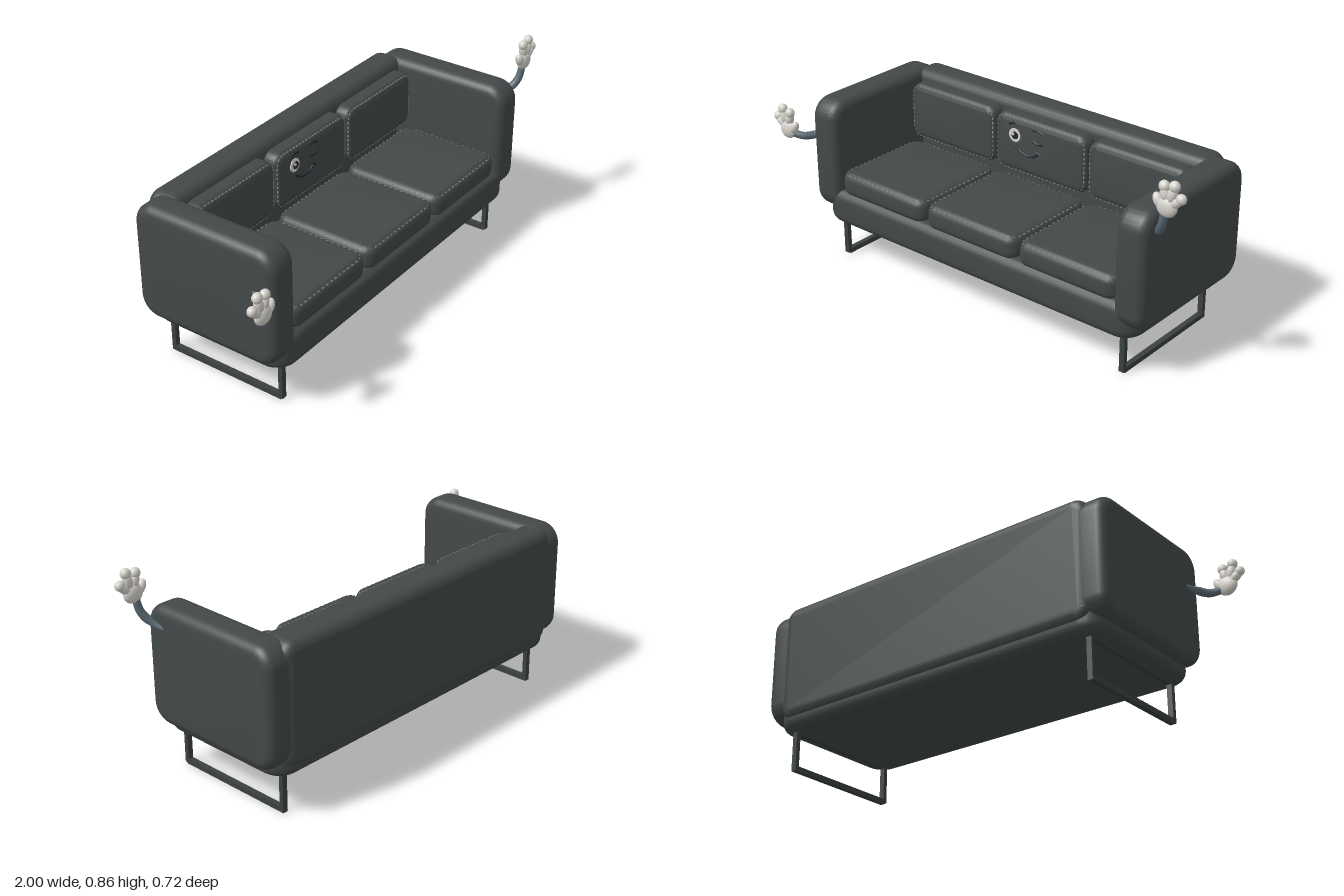
import * as THREE from 'three';
import { mergeVertices, mergeGeometries, toCreasedNormals } from 'three/addons/utils/BufferGeometryUtils.js';

const mat = (name, color) => {
  const m = new THREE.MeshStandardMaterial({ color });
  m.name = name;
  return m;
};

// rounded rectangle centred on the origin
function outline(w, h, r) {
  const s = new THREE.Shape(), x = w / 2, y = h / 2, q = Math.PI / 2;
  s.moveTo(-x + r, -y);
  s.absarc(x - r, -y + r, r, -q, 0);
  s.absarc(x - r, y - r, r, 0, q);
  s.absarc(-x + r, y - r, r, q, 2 * q);
  s.absarc(-x + r, -y + r, r, 2 * q, 3 * q);
  s.closePath();
  return s;
}

// upholstered slab: rounded outline, soft edges, thickness along z
function padGeometry(w, h, d, r, b) {
  let g = new THREE.ExtrudeGeometry(outline(w - 2 * b, h - 2 * b, r - b), {
    depth: d - 2 * b, bevelSize: b, bevelThickness: b, bevelSegments: 6, curveSegments: 8,
  });
  g.translate(0, 0, b - d / 2);
  g.deleteAttribute('uv');
  g.deleteAttribute('normal');
  g = mergeVertices(g, 1e-5);
  return toCreasedNormals(g, 0.7);
}

// row of short stitches along the front rim of a pad
function stitchGeometry(w, h, d, r, b) {
  const inset = b * 0.3;
  const pts = outline(w - 2 * inset, h - 2 * inset, r - inset).getSpacedPoints(64);
  const parts = [];
  for (let i = 0; i < 64; i++) {
    const a = pts[i], c = pts[i + 1];
    const g = new THREE.BoxGeometry(0.011, 0.004, 0.004);
    g.rotateZ(Math.atan2(c.y - a.y, c.x - a.x));
    g.translate((a.x + c.x) / 2, (a.y + c.y) / 2, d / 2 - inset);
    parts.push(g);
  }
  return mergeGeometries(parts);
}

// tube whose radius follows a rule along its length
function taperedTube(points, radius) {
  const curve = new THREE.CatmullRomCurve3(points.map(p => new THREE.Vector3(...p)));
  const seg = 20, rad = 14;
  const g = new THREE.TubeGeometry(curve, seg, 1, rad);
  const p = g.attributes.position, v = new THREE.Vector3();
  for (let i = 0; i <= seg; i++) {
    const c = curve.getPointAt(i / seg);
    for (let j = 0; j <= rad; j++) {
      const k = i * (rad + 1) + j;
      v.fromBufferAttribute(p, k).sub(c).multiplyScalar(radius(i / seg)).add(c);
      p.setXYZ(k, v.x, v.y, v.z);
    }
  }
  return g;
}

export function createModel() {
  const model = new THREE.Group();
  model.name = 'sofa';
  const leather = mat('charcoal leather', 0x434849);
  const metal = mat('dark metal', 0x3a4041);
  const thread = mat('pale thread', 0x8f897d);
  const sleeve = mat('blue grey arm', 0x5b6c76);
  const glove = mat('off white', 0xd6d3cc);
  const ink = mat('face ink', 0x24282a);

  const add = (name, geo, material, x = 0, y = 0, z = 0, parent = model) => {
    const m = new THREE.Mesh(geo, material);
    m.name = name;
    m.position.set(x, y, z);
    parent.add(m);
    return m;
  };

  const cx = 0.017;

  // base and backrest
  add('base', padGeometry(1.59, 0.64, 0.15, 0.09, 0.04), leather, cx, 0.24, -0.025).rotation.x = -Math.PI / 2;
  add('backrest', padGeometry(1.52, 0.5, 0.135, 0.06, 0.04), leather, cx, 0.452, -0.291);

  // armrests and leg frames
  for (const s of [-1, 1]) {
    const side = s > 0 ? 'left' : 'right';
    add(side + 'Armrest', padGeometry(0.652, 0.49, 0.135, 0.085, 0.04), leather, cx + s * 0.77, 0.456, -0.027)
      .rotation.y = Math.PI / 2;
    const frame = new THREE.Group();
    frame.name = side + 'LegFrame';
    frame.position.x = cx + s * 0.722;
    model.add(frame);
    for (const z of [0.235, -0.286]) {
      add('legPost', new THREE.BoxGeometry(0.022, 0.17, 0.019), metal, 0, 0.09, z, frame);
    }
    add('floorBar', new THREE.BoxGeometry(0.022, 0.021, 0.53), metal, 0, 0.0105, -0.03, frame);
    add('topBar', new THREE.BoxGeometry(0.022, 0.012, 0.53), metal, 0, 0.165, -0.03, frame);
  }

  // three seat cushions and three back cushions with stitching
  const pads = [
    { name: 'seatCushion', size: [0.462, 0.46, 0.105, 0.05, 0.035], y: 0.352, z: 0.053, tilt: -Math.PI / 2 },
    { name: 'backCushion', size: [0.462, 0.245, 0.09, 0.045, 0.03], y: 0.543, z: -0.199, tilt: 0 },
  ];
  for (const p of pads) {
    const pad = padGeometry(...p.size), stitches = stitchGeometry(...p.size);
    for (let i = -1; i <= 1; i++) {
      const g = new THREE.Group();
      g.name = p.name;
      g.position.set(cx + i * 0.472, p.y, p.z);
      g.rotation.x = p.tilt;
      model.add(g);
      add('cushionPad', pad, leather, 0, 0, 0, g);
      add('stitching', stitches, thread, 0, 0, 0, g);
    }
  }

  // face: open eye, winking eye, brows and smile
  const face = new THREE.Group();
  face.name = 'face';
  face.position.z = -0.153;
  model.add(face);
  const disc = (name, r, m, x, y, z) => {
    const g = new THREE.CylinderGeometry(r, r, 0.005, 28);
    g.rotateX(Math.PI / 2);
    add(name, g, m, x, y, z, face);
  };
  disc('eyeWhite', 0.029, glove, -0.107, 0.587, 0);
  disc('pupil', 0.016, ink, -0.104, 0.587, 0.003);
  disc('eyeGlint', 0.006, glove, -0.111, 0.593, 0.006);
  const stroke = (name, pts, r) => {
    const curve = new THREE.CatmullRomCurve3(pts.map(([x, y]) => new THREE.Vector3(x, y, 0)));
    add(name, new THREE.TubeGeometry(curve, 18, r, 8), ink, 0, 0, 0, face);
  };
  stroke('rightBrow', [[-0.135, 0.63], [-0.105, 0.64], [-0.08, 0.636]], 0.005);
  stroke('leftBrow', [[-0.015, 0.634], [0.012, 0.636], [0.042, 0.626]], 0.005);
  stroke('winkingEye', [[-0.01, 0.584], [0.015, 0.578], [0.042, 0.584]], 0.005);
  stroke('smile', [[-0.105, 0.543], [-0.078, 0.522], [-0.04, 0.512], [-0.005, 0.519], [0.016, 0.537]], 0.005);
  stroke('smileCorner', [[0.004, 0.54], [0.016, 0.536], [0.025, 0.53]], 0.004);

  // arms, thin where they leave the sofa
  const thickness = t => 0.004 + 0.0145 * Math.min(1, t * 2.2) - 0.004 * t;
  add('leftArm', taperedTube([[0.84, 0.605, 0.19], [0.868, 0.632, 0.235], [0.9, 0.68, 0.265], [0.915, 0.745, 0.274]],
    thickness), sleeve);
  add('rightArm', taperedTube([[-0.81, 0.532, 0.19], [-0.832, 0.524, 0.25], [-0.86, 0.524, 0.305], [-0.905, 0.537, 0.335]],
    thickness), sleeve);

  // gloved hands: x, y, x radius, y radius, z radius, turn
  const lobes = [
    ['palm', -0.008, -0.022, 0.042, 0.04, 0.023, 0],
    ['thumb', -0.044, -0.008, 0.018, 0.03, 0.018, 0.5],
    ['firstFinger', -0.017, 0.025, 0.019, 0.032, 0.018, 0.2],
    ['firstFingertip', -0.022, 0.052, 0.021, 0.021, 0.019, 0],
    ['middleFinger', 0.013, 0.028, 0.019, 0.036, 0.018, -0.25],
    ['middleFingertip', 0.02, 0.061, 0.021, 0.021, 0.019, 0],
    ['lastFinger', 0.03, 0.004, 0.018, 0.033, 0.017, -0.9],
    ['lastFingertip', 0.049, 0.022, 0.02, 0.02, 0.018, 0],
  ];
  const ball = new THREE.SphereGeometry(1, 20, 14);
  for (const [side, s, y, z] of [['left', 1, 0.782, 0.274], ['right', -1, 0.57, 0.334]]) {
    const hand = new THREE.Group();
    hand.name = side + 'Hand';
    hand.position.set(s * 0.93, y, z);
    model.add(hand);
    for (const [name, lx, ly, rx, ry, rz, turn] of lobes) {
      const m = add(name, ball, glove, s * lx, ly, 0, hand);
      m.scale.set(rx, ry, rz);
      m.rotation.z = s * turn;
    }
  }
  return model;
}
